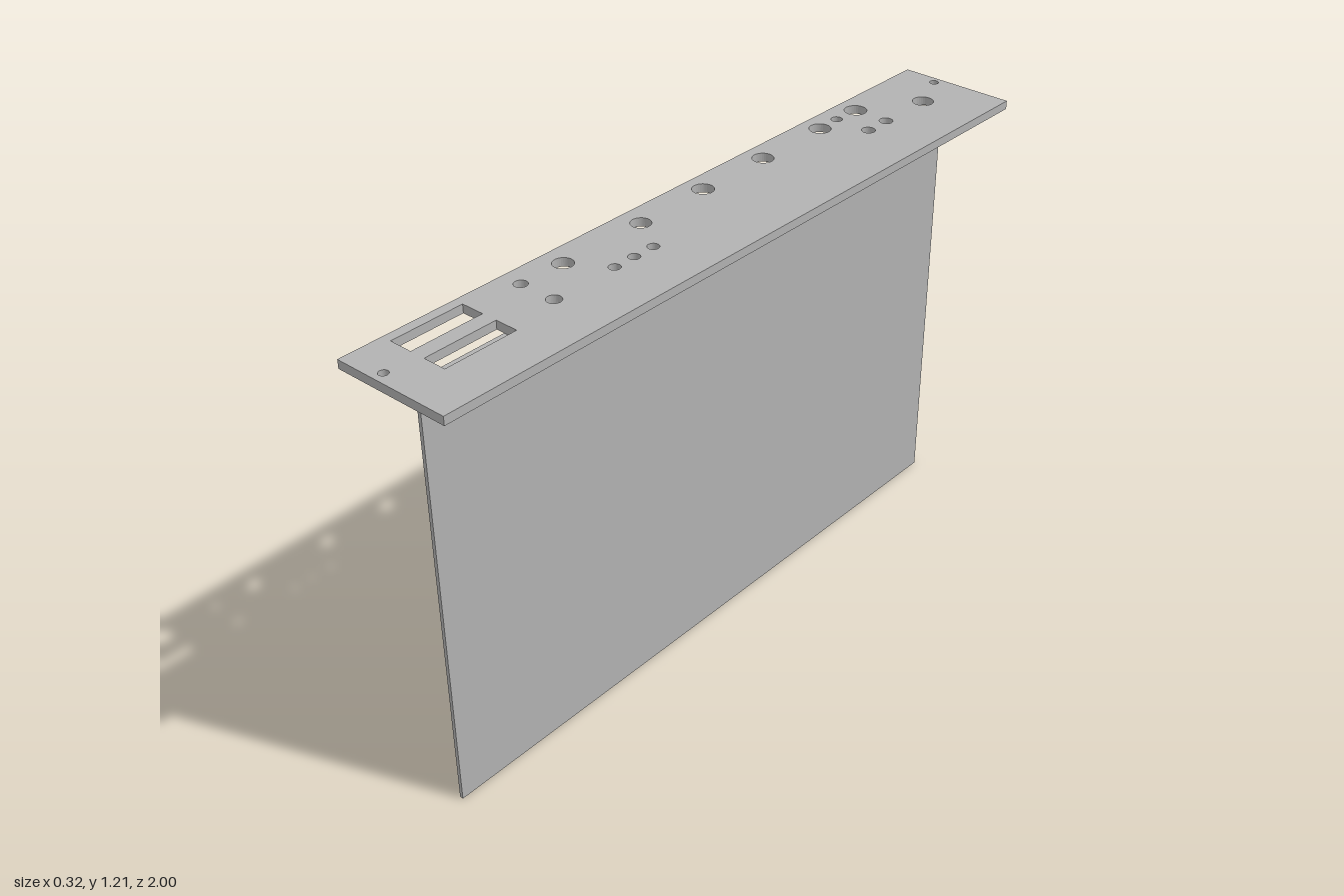
import * as THREE from 'three';

const TOP = 1.21, PLATE = 0.023;

// Round holes in the top plate: x, z, radius
const ROUND = [
  [-0.056, -0.975, 0.012], [-0.05, 0.972, 0.012],
  [-0.006, -0.853, 0.028], [-0.106, -0.689, 0.03], [-0.006, -0.688, 0.018],
  [-0.109, -0.612, 0.015], [-0.006, -0.612, 0.018], [-0.106, -0.538, 0.029],
  [-0.106, -0.307, 0.028], [-0.106, -0.08, 0.028], [-0.1, 0.148, 0.026],
  [0, 0.214, 0.015], [0, 0.278, 0.015], [0, 0.342, 0.015],
  [-0.1, 0.405, 0.026], [-0.104, 0.533, 0.017], [0, 0.533, 0.019],
];

// Closed outline from corner points
const outline = (Type, pts) => new Type(pts.map(([x, y]) => new THREE.Vector2(x, y)));
const rect = (x0, x1, z0, z1) => [[x0, z0], [x1, z0], [x1, z1], [x0, z1]];

export function createModel() {
  const group = new THREE.Group();
  const grey = new THREE.MeshStandardMaterial({ color: 0xb2b2b2 });
  grey.name = 'metalGrey';

  const add = (name, geometry) => {
    const mesh = new THREE.Mesh(geometry, grey);
    mesh.name = name;
    group.add(mesh);
    return mesh;
  };

  // Top plate with round holes and two rectangular slots
  const plate = outline(THREE.Shape, rect(-0.162, 0.162, -1, 1));
  for (const [x, z, r] of ROUND) {
    plate.holes.push(new THREE.Path().absarc(x, z, r, 0, Math.PI * 2, true));
  }
  for (const x of [-0.135, -0.03]) {
    plate.holes.push(outline(THREE.Path, rect(x, x + 0.063, 0.677, 0.88).reverse()));
  }
  const plateGeometry = new THREE.ExtrudeGeometry(plate, { depth: PLATE, bevelEnabled: false, curveSegments: 16 });
  plateGeometry.rotateX(Math.PI / 2);
  add('topPlate', plateGeometry).position.y = TOP;

  // Upright sheet with its upper edge folded into a flange under the plate
  const y1 = TOP - PLATE, t = 0.01, left = -0.007;
  const bracket = outline(THREE.Shape, [
    [left, 0], [left + t, 0], [left + t, y1 - t], [0.09, y1 - t], [0.09, y1], [left, y1],
  ]);
  const length = 1.86;
  add('foldedSheet', new THREE.ExtrudeGeometry(bracket, { depth: length, bevelEnabled: false })
    .translate(0, 0, -length / 2));

  return group;
}
